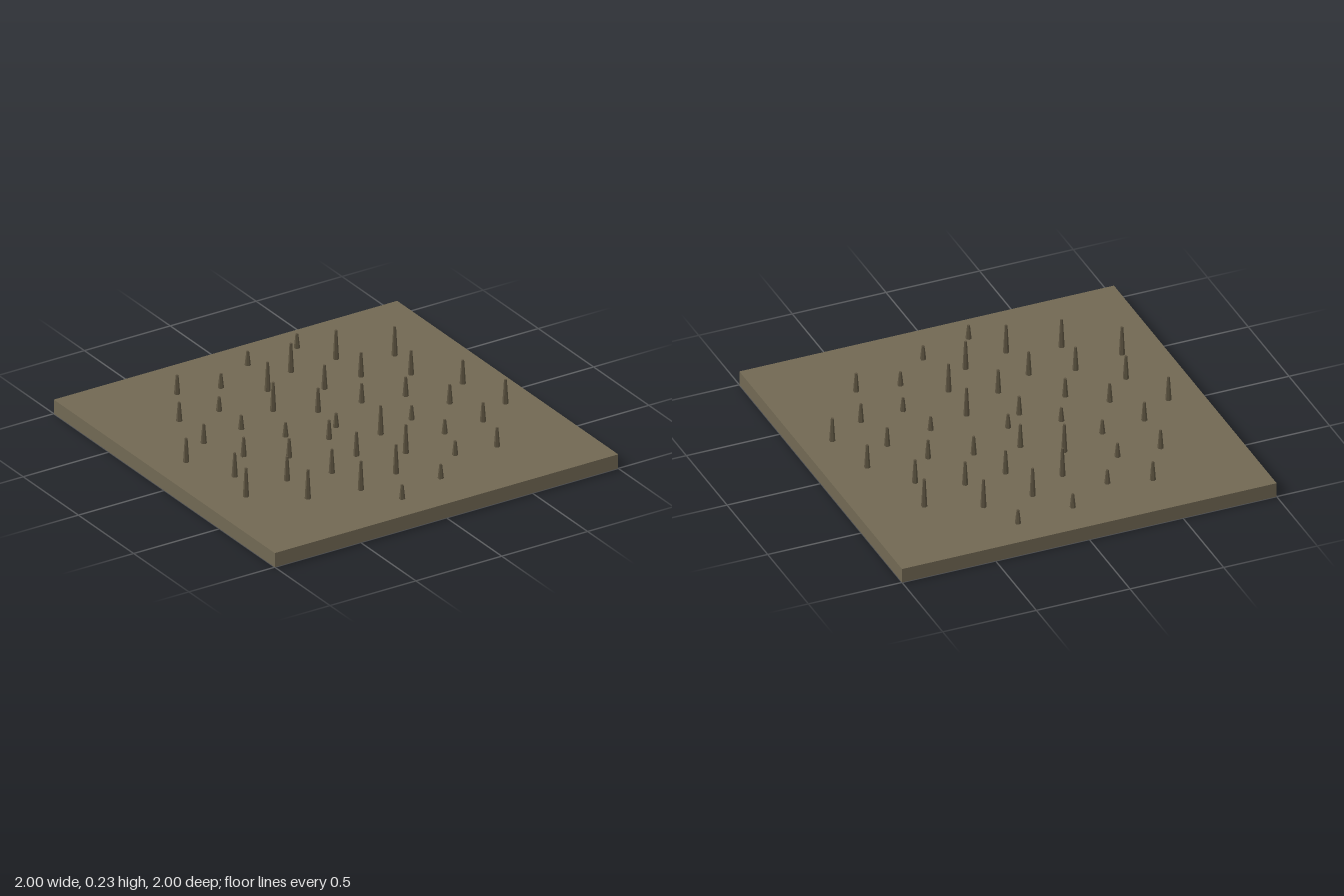
import * as THREE from 'three';

const SLAB_HEIGHT = 0.077;
const SPIKE_COUNT = 45;
const GOLDEN_ANGLE = Math.PI * (3 - Math.sqrt(5));

export function createModel() {
  const model = new THREE.Group();
  model.name = 'spikedSlab';

  const earth = new THREE.MeshStandardMaterial({ color: 0x716853 });
  earth.name = 'earth brown';
  const darkWood = new THREE.MeshStandardMaterial({ color: 0x5c5340, flatShading: true });
  darkWood.name = 'dark brown';

  // Square ground slab
  const slab = new THREE.Mesh(new THREE.BoxGeometry(2, SLAB_HEIGHT, 2), earth);
  slab.name = 'slab';
  slab.position.y = SLAB_HEIGHT / 2;
  model.add(slab);

  // Four stake lengths, repeated in turn
  const stakes = [0, 1, 2, 3].map((step) => {
    const height = 0.076 + step * 0.0268;
    return new THREE.CylinderGeometry(0.007, 0.0154, height, 6).translate(0, SLAB_HEIGHT + height / 2, 0);
  });

  // Stakes spread over the slab in a sunflower spiral
  const field = new THREE.Group();
  field.name = 'stakes';
  for (let i = 0; i < SPIKE_COUNT; i++) {
    const radius = 0.9 * Math.sqrt(i / SPIKE_COUNT);
    const angle = i * GOLDEN_ANGLE;
    const stake = new THREE.Mesh(stakes[i % 4], darkWood);
    stake.name = 'stake';
    stake.position.set(radius * Math.cos(angle), 0, radius * Math.sin(angle));
    field.add(stake);
  }
  model.add(field);

  return model;
}
